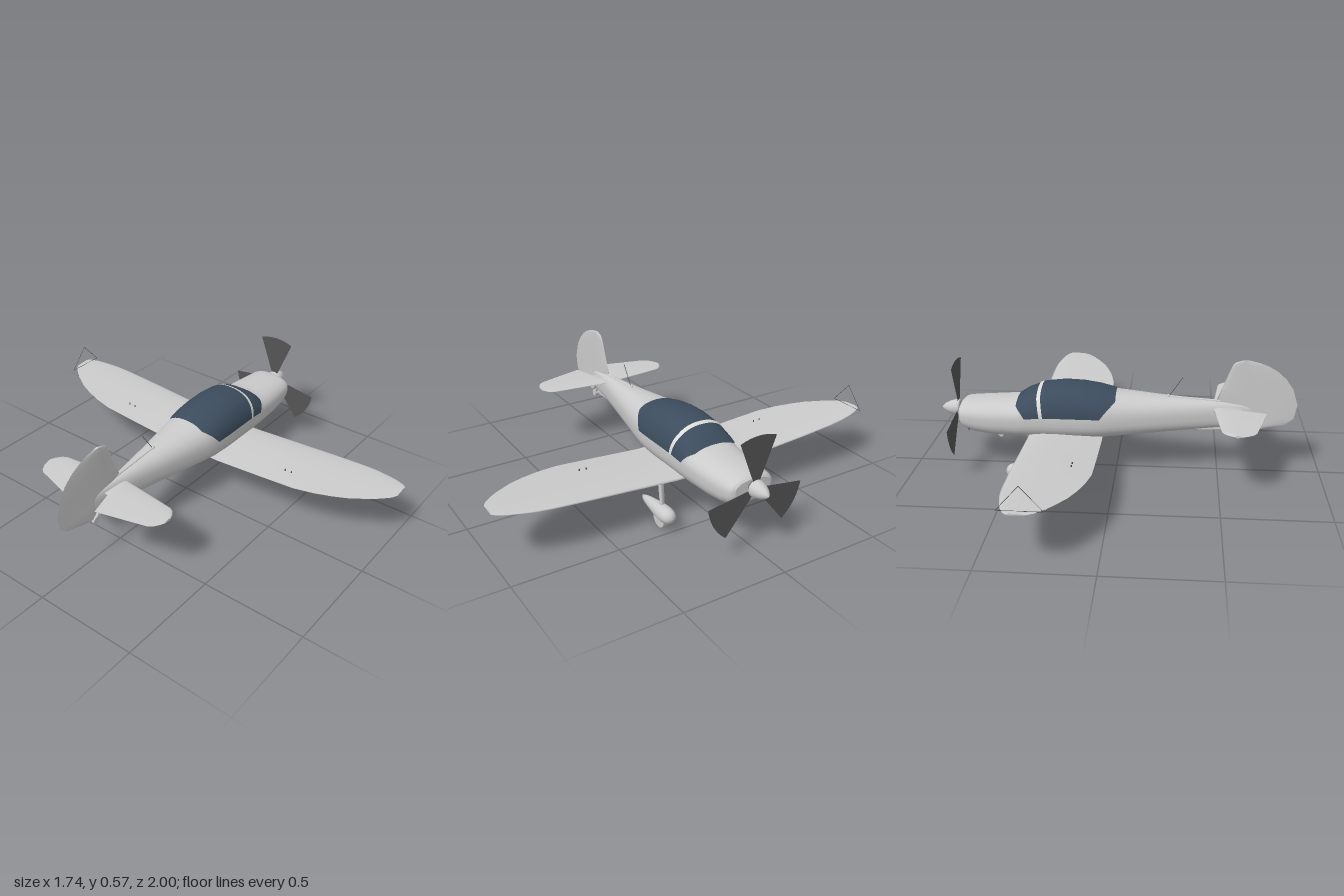
import * as THREE from 'three';

const mat = (name, color) => Object.assign(new THREE.MeshStandardMaterial({ color }), { name });

// Skin over a list of cross-section rings (or open strips)
function loft(rings, closed = true) {
  const n = rings[0].length, pos = [], idx = [];
  rings.forEach(r => r.forEach(p => pos.push(...p)));
  for (let i = 0; i < rings.length - 1; i++) {
    for (let j = 0; j < (closed ? n : n - 1); j++) {
      const k = (j + 1) % n, a = i * n + j, b = i * n + k;
      idx.push(a, a + n, b, b, a + n, b + n);
    }
  }
  if (closed) [rings[0], rings[rings.length - 1]].forEach((r, end) => {
    const base = pos.length / 3;
    r.forEach(p => pos.push(...p));
    pos.push(...[0, 1, 2].map(c => r.reduce((s, p) => s + p[c], 0) / n));
    for (let j = 0; j < n; j++) {
      const k = (j + 1) % n;
      idx.push(base + n, base + (end ? k : j), base + (end ? j : k));
    }
  });
  const g = new THREE.BufferGeometry();
  g.setAttribute('position', new THREE.Float32BufferAttribute(pos, 3));
  g.setIndex(idx);
  g.computeVertexNormals();
  return g;
}

// Fuselage stations: x, top, bottom, half width, height of widest line
const STATIONS = [
  [-0.66, 0.345, 0.245, 0.008, 0.30], [-0.45, 0.366, 0.226, 0.043, 0.30],
  [-0.2, 0.384, 0.204, 0.092, 0.295], [0, 0.402, 0.187, 0.132, 0.29],
  [0.08, 0.423, 0.181, 0.144, 0.29], [0.16, 0.436, 0.178, 0.147, 0.29],
  [0.25, 0.44, 0.176, 0.147, 0.29], [0.35, 0.428, 0.175, 0.146, 0.29],
  [0.43, 0.396, 0.175, 0.143, 0.285], [0.48, 0.362, 0.175, 0.14, 0.28],
  [0.6, 0.355, 0.177, 0.131, 0.275], [0.69, 0.35, 0.189, 0.122, 0.275],
  [0.735, 0.345, 0.205, 0.116, 0.28], [0.755, 0.338, 0.219, 0.108, 0.285],
  [0.765, 0.328, 0.236, 0.092, 0.288],
];

// Point on the fuselage skin at x and angle t (0 = left side, PI/2 = top)
function skin(x, t, off = 0) {
  let i = 0;
  while (i < STATIONS.length - 2 && x > STATIONS[i + 1][0]) i++;
  const A = STATIONS[i], B = STATIONS[i + 1], f = (x - A[0]) / (B[0] - A[0]);
  const [, top, bot, w, yc] = A.map((v, k) => v + (B[k] - v) * f);
  const s = Math.sin(t), c = Math.cos(t), e = s < 0 ? 0.72 : 0.88;
  const pw = v => Math.sign(v) * Math.abs(v) ** e;
  return [x, yc + pw(s) * ((s < 0 ? yc - bot : top - yc) + off), pw(c) * (w + off)];
}

function fuselage() {
  const rings = [];
  STATIONS.forEach((S, i) => {
    const next = STATIONS[i + 1], steps = next ? 2 : 1;
    for (let k = 0; k < steps; k++) {
      const x = next ? S[0] + (next[0] - S[0]) * k / steps : S[0];
      rings.push(Array.from({ length: 40 }, (_, j) => skin(x, j / 40 * Math.PI * 2)));
    }
  });
  return loft(rings);
}

// Thin sheet lying on the upper fuselage; range(h) gives x limits by height 0..1
function sheet(range, off, nx) {
  return loft(Array.from({ length: nx + 1 }, (_, i) => Array.from({ length: 41 }, (_, j) => {
    const t = 0.07 + (Math.PI - 0.14) * j / 40;
    const [x0, x1] = range(Math.min(1, Math.sin(t) * 1.35));
    return skin(x0 + (x1 - x0) * i / nx, t, off);
  })), false);
}

// Flying surface from stations: span, trailing x, leading x, height, thickness
function aerofoil(stations, mirrored) {
  const all = mirrored
    ? [...stations.slice(1).reverse().map(([z, ...r]) => [-z, ...r]), ...stations] : stations;
  const half = [[0, 0.04], [0.3, 0.55], [0.6, 0.95], [0.8, 0.95], [0.93, 0.62], [0.98, 0.33]];
  const loop = [...half, [1, 0], ...half.slice().reverse().map(([u, v]) => [u, -v])];
  return loft(all.map(([z, te, le, y, th]) =>
    loop.map(([u, v]) => [te + (le - te) * u, y + v * th / 2, z])));
}

export function createModel() {
  const plane = new THREE.Group();
  plane.name = 'lowWingAeroplane';
  const body = mat('lightGrey', 0xcbcbcb), glass = mat('canopyBlue', 0x3c4c5d);
  const frame = mat('frameWhite', 0xdcdcd8), dark = mat('propellerGrey', 0x545454);
  dark.side = THREE.DoubleSide;
  const add = (name, geo, m = body, p = [0, 0, 0]) => {
    const o = new THREE.Mesh(geo, m);
    o.name = name;
    o.position.set(...p);
    plane.add(o);
    return o;
  };
  const rod = (name, a, b, r, m = body, r2 = r) => {
    const A = new THREE.Vector3(...a), B = new THREE.Vector3(...b), d = B.clone().sub(A);
    const o = add(name, new THREE.CylinderGeometry(r2, r, d.length(), 12), m);
    o.position.copy(A).add(B).multiplyScalar(0.5);
    o.quaternion.setFromUnitVectors(new THREE.Vector3(0, 1, 0), d.normalize());
    return o;
  };
  const lathe = pts => new THREE.LatheGeometry(
    new THREE.SplineCurve(pts.map(p => new THREE.Vector2(...p))).getPoints(24)
      .map(p => p.setX(Math.max(0, p.x))), 24).rotateZ(-Math.PI / 2);

  // Body and cockpit
  add('fuselage', fuselage());
  add('canopy', sheet(h => [0.08 * (1 - h), 0.43 + 0.05 * h], 0.004, 36), glass);
  add('canopyFrame', sheet(h => [0.343 + 0.015 * h, 0.36 + 0.017 * h], 0.0065, 3), frame);

  // Wing with dihedral and rounded tips
  const wingY = z => 0.2 + 0.06 * Math.max(0, z - 0.15) / 0.85;
  const plan = [[0, 0.06, 0.42], [0.15, 0.06, 0.42], [0.4, 0.06, 0.42], [0.58, 0.062, 0.42],
    [0.68, 0.08, 0.418], [0.76, 0.104, 0.416], [0.83, 0.132, 0.41], [0.91, 0.18, 0.394],
    [0.95, 0.21, 0.382], [0.985, 0.243, 0.366], [1, 0.27, 0.352]];
  add('wing', aerofoil(plan.map(([z, te, le]) => [z, te, le, wingY(z), 0.042 - 0.034 * z]), true));

  // Tail surfaces
  const tail = [[0, -0.6, -0.46], [0.035, -0.6, -0.468], [0.07, -0.72, -0.473], [0.2, -0.686, -0.487],
    [0.31, -0.656, -0.5], [0.33, -0.642, -0.512], [0.347, -0.615, -0.535], [0.355, -0.595, -0.555]];
  add('tailplane', aerofoil(tail.map(([z, te, le]) => [z, te, le, 0.33, 0.018 - 0.02 * z]), true));
  const fin = [[0.225, -0.72, -0.66], [0.235, -0.76, -0.652], [0.25, -0.82, -0.64], [0.28, -0.856, -0.6],
    [0.35, -0.87, -0.476], [0.43, -0.845, -0.508], [0.48, -0.81, -0.527], [0.52, -0.765, -0.542],
    [0.545, -0.72, -0.553], [0.56, -0.68, -0.566], [0.57, -0.635, -0.6]];
  add('finAndRudder', aerofoil(fin.map(([y, te, le]) => [y, te, le, 0, 0.02 - 0.02 * (y - 0.225)]))
    .rotateX(-Math.PI / 2));
  rod('dorsalRidge', [-0.6, 0.356, 0], [-0.24, 0.38, 0], 0.006);
  const keel = new THREE.Shape([[-0.62, 0.217], [-0.28, 0.209], [-0.28, 0.225], [-0.62, 0.26]]
    .map(p => new THREE.Vector2(...p)));
  add('ventralStrake', new THREE.ExtrudeGeometry(keel, { depth: 0.006, bevelEnabled: false }),
    body, [0, 0, -0.003]);

  // Propeller and spinner
  const blade = new THREE.Shape();
  blade.moveTo(-0.012, 0.02);
  blade.lineTo(0.012, 0.02);
  blade.absarc(0, 0, 0.245, Math.PI / 2 - 0.39, Math.PI / 2 + 0.39, false);
  for (let i = 0; i < 3; i++) {
    const b = add('propellerBlade' + (i + 1),
      new THREE.ShapeGeometry(blade, 10).rotateY(Math.PI / 2), dark, [0.785, 0.292, 0]);
    b.rotation.x = i * Math.PI * 2 / 3;
  }
  rod('propellerHub', [0.76, 0.292, 0], [0.777, 0.292, 0], 0.028, dark);
  add('spinner', lathe([[0, 0.775], [0.034, 0.777], [0.04, 0.79], [0.032, 0.825], [0.016, 0.855], [0, 0.87]]),
    body, [0, 0.292, 0]);

  // Main gear and small wing fittings, both sides
  const spat = [[0, 0.25], [0.016, 0.285], [0.029, 0.36], [0.038, 0.44], [0.033, 0.485], [0.018, 0.504], [0, 0.51]];
  for (const s of [1, -1]) {
    const side = s > 0 ? 'left' : 'right';
    add(side + 'WheelFairing', lathe(spat), body, [0, 0.068, 0.236 * s]);
    add(side + 'Wheel', new THREE.CylinderGeometry(0.045, 0.045, 0.034, 24).rotateX(Math.PI / 2),
      body, [0.43, 0.045, 0.242 * s]);
    rod(side + 'GearLeg', [0.38, 0.205, 0.216 * s], [0.415, 0.07, 0.228 * s], 0.033, body, 0.026)
      .scale.z = 0.4;
    rod(side + 'ExhaustStub', [0.59, 0.19, 0.045 * s], [0.565, 0.163, 0.045 * s], 0.011);
    for (const z of [0.88, 0.9])
      rod(side + 'AileronFitting', [0.22, 0.25, z * s], [0.21, 0.232, z * s], 0.004);
    for (const z of [0.475, 0.51])
      rod(side + 'FlapBolt', [0.16, wingY(z), z * s], [0.16, wingY(z) + 0.015, z * s], 0.003, dark);
  }

  // Tail wheel
  add('tailWheel', new THREE.CylinderGeometry(0.018, 0.018, 0.016, 18).rotateX(Math.PI / 2),
    body, [-0.65, 0.205, 0]);
  rod('tailWheelLeg', [-0.62, 0.25, 0], [-0.65, 0.205, 0], 0.007);

  // Aerial and the wire sighting frame on the right wing tip
  rod('aerial', [-0.25, 0.375, 0], [-0.32, 0.48, 0], 0.0015, dark);
  add('aerialBase', new THREE.SphereGeometry(0.01, 12, 8), body, [-0.25, 0.38, 0]);
  const tri = [[0.205, 0.262, -0.975], [0.395, 0.262, -0.975], [0.3, 0.37, -0.975]];
  tri.forEach((p, i) => rod('sightingFrameWire', p, tri[(i + 1) % 3], 0.0012, dark));
  return plane;
}
